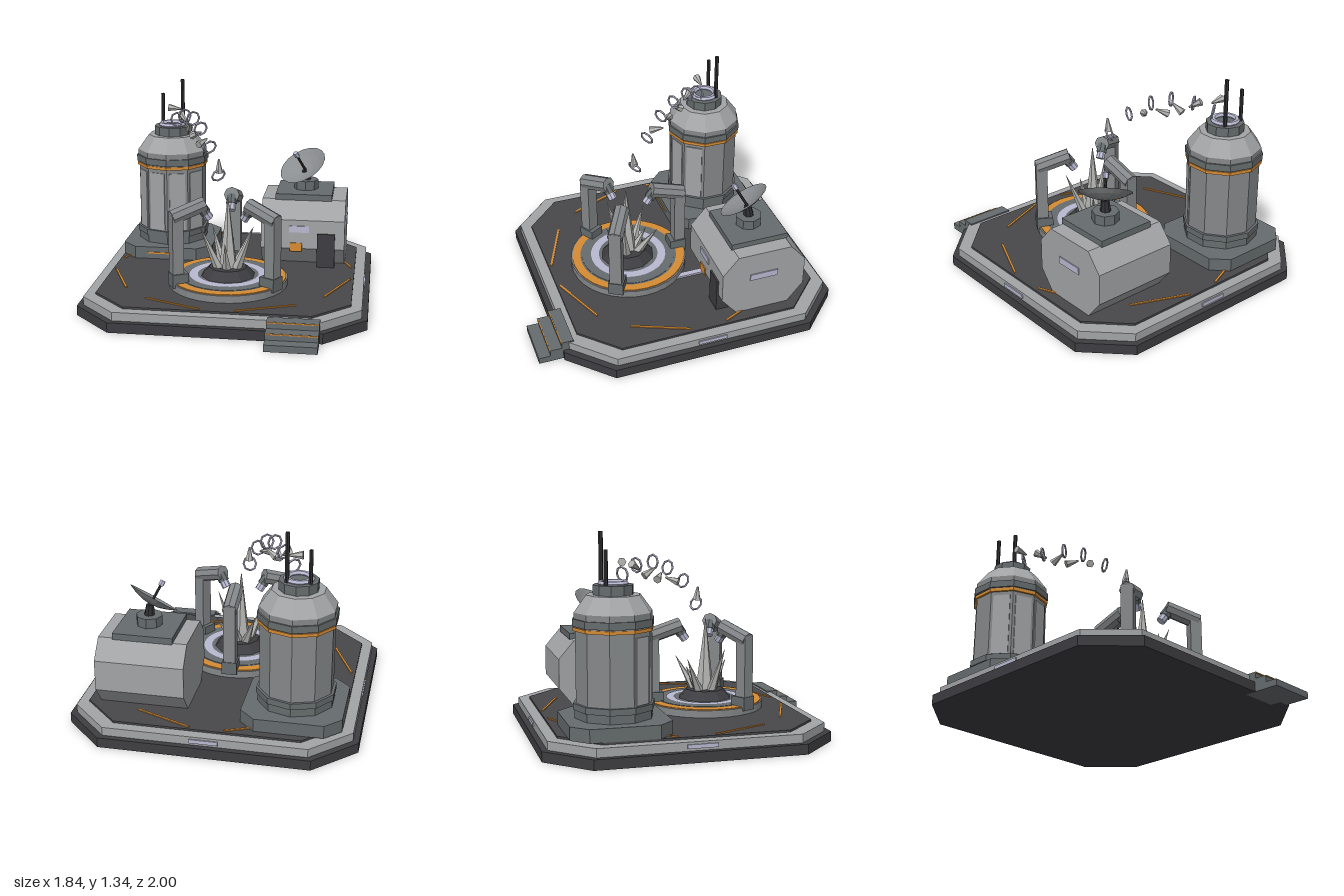
import * as THREE from 'three';

const mat = (name, color) => Object.assign(new THREE.MeshStandardMaterial({ color }), { name });
const M = {
  light: mat('light panel grey', 0xa2a4a6),
  mid: mat('mid grey', 0x85888a),
  steel: mat('steel grey', 0x666c6e),
  deck: mat('deck charcoal', 0x48484b),
  base: mat('base charcoal', 0x3e3e42),
  black: mat('near black', 0x2f2f32),
  orange: mat('orange', 0xd68c34),
  glow: mat('pale lavender', 0xb9b9d2),
  crystal: mat('pale crystal', 0xb4b5b2),
};
M.dish = mat('dish grey', 0x8b8e90);
M.dish.side = THREE.DoubleSide;
const V = (x, y, z) => new THREE.Vector3(x, y, z);
const UP = V(0, 1, 0);

export function createModel() {
  const root = new THREE.Group();

  // Faceted mesh with one normal per face
  function add(name, geo, material, x = 0, y = 0, z = 0, parent = root) {
    const g = geo.index ? geo.toNonIndexed() : geo;
    g.computeVertexNormals();
    const m = new THREE.Mesh(g, material);
    m.name = name;
    m.position.set(x, y, z);
    parent.add(m);
    return m;
  }
  // Box given by its lower and upper limits
  const box = (name, material, x0, x1, y0, y1, z0, z1, parent) =>
    add(name, new THREE.BoxGeometry(x1 - x0, y1 - y0, z1 - z0), material,
      (x0 + x1) / 2, (y0 + y1) / 2, (z0 + z1) / 2, parent);
  // Upright prism or cone frustum
  const drum = (name, material, x, z, y0, y1, r0, r1, n) =>
    add(name, new THREE.CylinderGeometry(r1, r0, y1 - y0, n), material, x, (y0 + y1) / 2, z);
  // Tapered rod between two points
  function rod(name, material, a, b, r0, r1, n, parent) {
    const d = b.clone().sub(a);
    const m = add(name, new THREE.CylinderGeometry(r1, r0, d.length(), n), material, 0, 0, 0, parent);
    m.position.copy(a).add(b).multiplyScalar(0.5);
    m.quaternion.setFromUnitVectors(UP, d.normalize());
    return m;
  }
  // Square slab with cut corners
  function slab(name, material, x, z, h, c, y0, y1) {
    const k = h - c;
    const s = new THREE.Shape([[h, -k], [h, k], [k, h], [-k, h], [-h, k], [-h, -k], [-k, -h], [k, -h]]
      .map(p => new THREE.Vector2(...p)));
    const g = new THREE.ExtrudeGeometry(s, { depth: y1 - y0, bevelEnabled: false }).rotateX(-Math.PI / 2);
    return add(name, g, material, x, y0, z);
  }
  const flatRing = (name, material, x, y, z, r0, r1, n) =>
    add(name, new THREE.RingGeometry(r0, r1, n).rotateX(-Math.PI / 2), material, x, y, z);

  // Platform
  const CZ = -0.08;
  slab('platformBase', M.base, 0, CZ, 0.92, 0.26, 0, 0.065);
  slab('platformRim', M.light, 0, CZ, 0.883, 0.245, 0.065, 0.12);
  slab('platformDeck', M.deck, 0, CZ, 0.815, 0.23, 0.12, 0.133);
  for (const s of [-1, 1]) box('rimLight', M.glow, s * 0.887 - 0.004, s * 0.887 + 0.004, 0.08, 0.105, -0.17, 0.02);
  box('rimLight', M.glow, -0.09, 0.09, 0.08, 0.105, -0.971, -0.963);

  // Painted deck lines, mirrored to all sides
  for (const sx of [-1, 1]) for (const sz of [-1, 1])
    for (const [x0, z0, x1, z1] of [[0.11, 0.795, 0.475, 0.645], [0.64, 0.475, 0.79, 0.12]]) {
      const dx = sx * (x1 - x0), dz = sz * (z1 - z0);
      const m = add('deckLine', new THREE.BoxGeometry(Math.hypot(dx, dz), 0.007, 0.014), M.orange,
        sx * (x0 + x1) / 2, 0.136, CZ + sz * (z0 + z1) / 2);
      m.rotation.y = -Math.atan2(dz, dx);
    }

  // Entrance steps
  for (let i = 0; i < 3; i++) {
    const top = 0.043 * (i + 1), front = 1 - i * 0.076;
    box('step', M.steel, 0.32, 0.64, 0, top, 0.77, front);
    if (i) box('stepStripe', M.orange, 0.32, 0.64, top - 0.008, top - 0.001, front, front + 0.006);
  }

  // Tower
  const TX = -0.5, TZ = -0.527;
  slab('towerPlinth', M.steel, TX, TZ, 0.315, 0.1, 0.133, 0.217);
  box('plinthStripe', M.orange, -0.63, -0.38, 0.17, 0.181, TZ + 0.315, TZ + 0.321);
  for (const [name, m, y0, y1, r0, r1] of [
    ['towerFoot', M.steel, 0.217, 0.27, 0.245, 0.245],
    ['towerLowerRing', M.steel, 0.27, 0.31, 0.254, 0.254],
    ['towerBody', M.mid, 0.31, 0.755, 0.236, 0.236],
    ['towerOrangeBand', M.orange, 0.752, 0.773, 0.25, 0.25],
    ['towerUpperRing', M.steel, 0.78, 0.825, 0.254, 0.254],
    ['towerNeck', M.mid, 0.755, 0.862, 0.243, 0.243],
    ['towerDome', M.light, 0.862, 0.965, 0.243, 0.168],
    ['towerCollar', M.steel, 0.965, 1.025, 0.125, 0.125],
  ]) drum(name, m, TX, TZ, y0, y1, r0, r1, 10);
  for (const deg of [-54, -18, 18, 54]) {
    const a = deg * Math.PI / 180, r = 0.236 * Math.cos(Math.PI / 10) + 0.003;
    const p = add('towerPanel', new THREE.BoxGeometry(0.11, 0.41, 0.008), M.light,
      TX + r * Math.sin(a), 0.52, TZ + r * Math.cos(a));
    p.rotation.y = a;
  }
  add('towerPortRing', new THREE.TorusGeometry(0.077, 0.018, 6, 16).rotateX(Math.PI / 2), M.glow, TX, 1.032, TZ);
  drum('antenna', M.black, -0.577, -0.588, 1.02, 1.24, 0.013, 0.013, 6);
  drum('antenna', M.black, -0.435, -0.588, 1.02, 1.34, 0.014, 0.014, 6);

  // Habitat: eight-sided section run along x
  const sect = [[0.18, 0.133], [0.282, 0.26], [0.282, 0.46], [0.18, 0.58],
    [-0.18, 0.58], [-0.282, 0.46], [-0.282, 0.26], [-0.18, 0.133]];
  const hab = new THREE.ExtrudeGeometry(new THREE.Shape(sect.map(p => new THREE.Vector2(...p))),
    { depth: 0.57, bevelEnabled: false }).rotateY(Math.PI / 2);
  const HX = 0.455, HZ = -0.47, HF = HZ + 0.282;
  add('habitatBody', hab, M.light, 0.17, 0, HZ);
  box('habitatRoof', M.steel, 0.26, 0.645, 0.575, 0.617, -0.662, -0.28);
  box('habitatWindow', M.glow, 0.365, 0.5, 0.375, 0.42, HF, HF + 0.007);
  box('habitatSideWindow', M.glow, 0.74, 0.747, 0.38, 0.425, -0.563, -0.375);
  box('habitatHatch', M.orange, 0.37, 0.452, 0.24, 0.3, HF, HF + 0.007);
  box('habitatDoor', M.base, 0.555, 0.675, 0.135, 0.37, HF - 0.09, HF + 0.012);
  box('conduit', M.glow, 0.262, 0.302, 0.133, 0.146, HF - 0.05, 0.14);

  // Dish antenna
  drum('dishPedestal', M.steel, HX, HZ, 0.617, 0.68, 0.085, 0.085, 8);
  const n = V(-0.4, 0.8, 0.43).normalize(), hub = V(0.43, 0.785, -0.44);
  const back = hub.clone().addScaledVector(n, -0.05);
  rod('dishMount', M.black, V(HX, 0.67, HZ), back, 0.035, 0.025, 8);
  const bowl = [[0.001, -0.05], [0.06, -0.043], [0.12, -0.024], [0.17, 0]].map(p => new THREE.Vector2(...p));
  const dish = add('dish', new THREE.LatheGeometry(bowl, 18), M.dish, hub.x, hub.y, hub.z);
  dish.quaternion.setFromUnitVectors(UP, n);
  rod('dishFeed', M.black, back, hub.clone().addScaledVector(n, 0.085), 0.009, 0.009, 6);
  rod('dishFeedTip', M.glow, hub.clone().addScaledVector(n, 0.085), hub.clone().addScaledVector(n, 0.12), 0.018, 0.018, 6);

  // Crystal pad
  const PZ = 0.2;
  drum('padBase', M.mid, 0, PZ, 0.133, 0.18, 0.39, 0.39, 32);
  drum('padUpper', M.steel, 0, PZ, 0.18, 0.19, 0.315, 0.315, 32);
  drum('padOrangeRing', M.orange, 0, PZ, 0.18, 0.186, 0.38, 0.38, 32);
  flatRing('padGroove', M.steel, 0, 0.1875, PZ, 0.31, 0.327, 32);
  flatRing('padGlowRing', M.glow, 0, 0.193, PZ, 0.2, 0.254, 32);
  drum('crystalPedestal', M.base, 0, PZ + 0.005, 0.19, 0.247, 0.178, 0.125, 10);

  // Crystal cluster
  rod('mainCrystal', M.crystal, V(0, 0.22, 0.205), V(0, 0.72, 0.21), 0.065, 0.002, 6);
  for (const [x, y, z] of [[-0.17, 0.535, 0.29], [0.175, 0.545, 0.28], [-0.125, 0.47, 0.05],
    [0.135, 0.455, 0.04], [0, 0.44, 0.35], [0.02, 0.4, 0.08]])
    rod('sideCrystal', M.crystal, V(x * 0.3, 0.22, 0.205 + (z - 0.205) * 0.3), V(x, y, z), 0.035, 0.001, 5);

  // Three projector arms around the pad; built facing inward along +z
  for (let i = 0; i < 3; i++) {
    const arm = new THREE.Group();
    arm.name = 'projectorArm';
    arm.position.set(0, 0, PZ);
    arm.rotation.y = i * Math.PI * 2 / 3;
    root.add(arm);
    box('armFoot', M.steel, -0.05, 0.05, 0.16, 0.247, -0.4, -0.29, arm);
    box('armPost', M.mid, -0.04, 0.04, 0.247, 0.645, -0.395, -0.32, arm);
    rod('armBeam', M.mid, V(0, 0.615, -0.385), V(0, 0.685, -0.165), 0.051, 0.051, 8, arm);
    rod('armCollar', M.steel, V(0, 0.675, -0.19), V(0, 0.625, -0.155), 0.036, 0.036, 8, arm);
    rod('armEmitter', M.glow, V(0, 0.63, -0.16), V(0, 0.588, -0.13), 0.03, 0.03, 8, arm);
  }

  // Arc of rings from tower to crystals
  const pts = [[-0.455, 1.08, -0.46], [-0.38, 1.125, -0.355], [-0.3, 1.135, -0.23],
    [-0.23, 1.09, -0.115], [-0.15, 0.995, 0.01], [-0.075, 0.835, 0.12]].map(p => V(...p));
  const arc = new THREE.CatmullRomCurve3(pts);
  pts.forEach((p, i) => {
    const t = arc.getTangent(i / 5);
    t.y *= 0.4;
    const ring = add('arcRing', new THREE.TorusGeometry(0.045, 0.007, 5, 8), M.glow, p.x, p.y, p.z);
    ring.quaternion.setFromUnitVectors(V(0, 0, 1), t.normalize());
  });

  // Loose shards drifting along the arc: centre, then pointing direction
  for (const [x, y, z, dx, dy, dz] of [[-0.47, 1.155, -0.475, 1, -0.1, 0], [-0.39, 1.115, -0.36, 0.5, -0.5, 0.7],
    [-0.33, 1.075, -0.26, 0.2, 0.5, 0.8], [-0.27, 1.04, -0.18, 0.8, 0.4, 0.5],
    [-0.21, 1.01, -0.08, 0.5, 0.3, -0.8], [-0.07, 0.9, 0.13, 0, 1, 0.1]]) {
    const d = V(dx, dy, dz).normalize().multiplyScalar(0.045), c = V(x, y, z);
    rod('shard', M.crystal, c.clone().sub(d), c.clone().add(d), 0.027, 0.006, 6);
  }
  return root;
}
